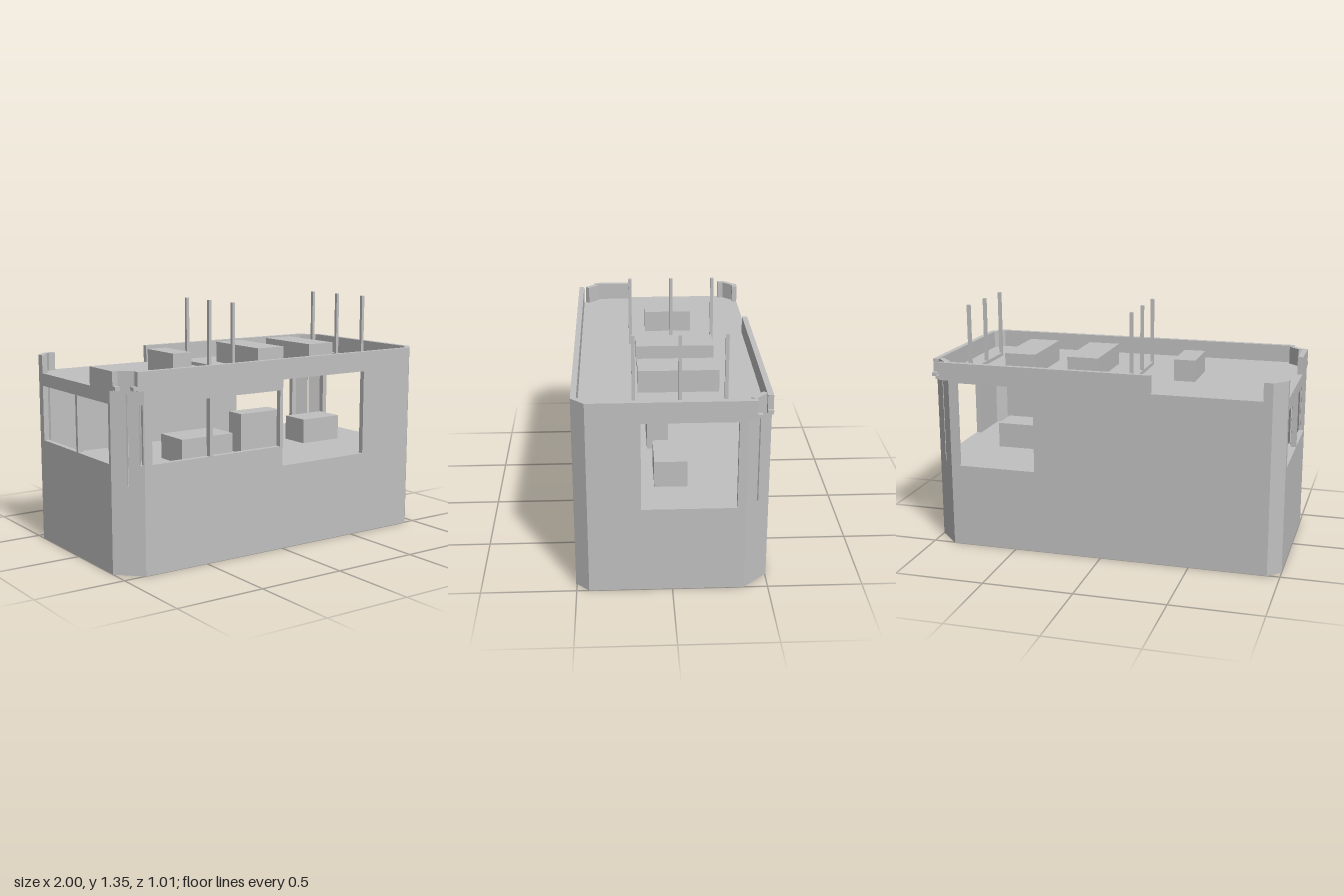
import * as THREE from 'three';

const T = 0.03, ROOF = 0.96, TOP = 1.06;

export function createModel() {
  const group = new THREE.Group();
  const grey = new THREE.MeshStandardMaterial({ color: 0xc0c0c0 });
  grey.name = 'plain grey';

  function add(name, geometry) {
    const mesh = new THREE.Mesh(geometry, grey);
    mesh.name = name;
    group.add(mesh);
    return mesh;
  }

  function box(name, x0, x1, y0, y1, z0, z1) {
    add(name, new THREE.BoxGeometry(x1 - x0, y1 - y0, z1 - z0))
      .position.set((x0 + x1) / 2, (y0 + y1) / 2, (z0 + z1) / 2);
  }

  const rect = (Type, x0, x1, y0, y1) => new Type([
    [x0, y0], [x1, y0], [x1, y1], [x0, y1]
  ].map(p => new THREE.Vector2(...p)));

  // Upright wall from a to b (x, z); openings are [u0, u1, y0, y1] along the wall
  function wall(name, a, b, y0, y1, openings = []) {
    const dx = b[0] - a[0], dz = b[1] - a[1];
    const shape = rect(THREE.Shape, 0, Math.hypot(dx, dz), y0, y1);
    for (const o of openings) shape.holes.push(rect(THREE.Path, ...o));
    const geometry = new THREE.ExtrudeGeometry(shape, { depth: T, bevelEnabled: false });
    geometry.translate(0, 0, -T);
    const mesh = add(name, geometry);
    mesh.rotation.y = Math.atan2(-dz, dx);
    mesh.position.set(a[0], 0, a[1]);
  }

  // Footprint with cut corners, running round from the front
  const plan = [
    [-0.875, 0.505], [0.93, 0.505], [1, 0.435], [1, -0.375],
    [0.875, -0.505], [-0.93, -0.505], [-1, -0.435], [-1, 0.38]
  ];

  // Horizontal slab following the footprint
  function slab(name, y, thickness, hole) {
    const shape = new THREE.Shape(plan.map(([x, z]) => new THREE.Vector2(x, -z)));
    if (hole) shape.holes.push(rect(THREE.Path, ...hole));
    const geometry = new THREE.ExtrudeGeometry(shape, { depth: thickness, bevelEnabled: false });
    geometry.rotateX(-Math.PI / 2);
    add(name, geometry).position.y = y;
  }
  slab('base', 0, 0.02);
  slab('floor', 0.45, 0.02);
  slab('roof', 0.948, ROOF - 0.948, [-0.95, -0.63, -0.45, -0.12]);

  // Outer walls with their window openings
  const walls = [
    ['frontWall', [
      [0.045, 0.395, 0.58, 0.89], [0.415, 0.855, 0.58, 0.89], [0.875, 1.455, 0.47, 0.95]
    ]],
    ['frontLeftCorner', []],
    ['leftWall', [[0.275, 0.765, 0.47, 0.95]]],
    ['backLeftCorner', [[0.085, 0.095, 0.47, 0.95]]],
    ['backWall', [[0.045, 0.495, 0.47, 0.95]]],
    ['backRightCorner', []],
    ['rightWall', [[0.045, 0.435, 0.58, 0.89], [0.455, 0.795, 0.58, 0.89]]],
    ['frontRightCorner', [[0.083, 0.093, 0.47, 0.95], [0.15, 0.17, 0.58, 0.89]]]
  ];
  walls.forEach(([name, openings], i) =>
    wall(name, plan[i], plan[(i + 1) % plan.length], 0, ROOF, openings));

  // Broken parapet round the roof
  const parapets = [
    [[-0.91, 0.505], [0.93, 0.505], [1, 0.435], [1, -0.42]],
    [[0.97, -0.41], [0.9, -0.48]],
    [[0.93, -0.505], [-0.28, -0.505]],
    [[-0.88, -0.505], [-0.93, -0.505], [-1, -0.435], [-1, -0.39]],
    [[-1, 0.17], [-1, 0.41]],
    [[-0.97, 0.405], [-0.91, 0.465]]
  ];
  for (const path of parapets)
    for (let i = 0; i + 1 < path.length; i++) wall('parapet', path[i], path[i + 1], ROOF, TOP);

  // Small ledges under the parapet ends
  box('ledge', 0.97, 1, 0.965, 0.985, -0.445, -0.42);
  box('ledge', 0.93, 0.95, 0.965, 0.985, -0.505, -0.475);
  box('ledge', -1, -0.97, 0.965, 0.985, 0.41, 0.435);
  box('ledge', -0.935, -0.91, 0.965, 0.985, 0.475, 0.505);

  // Roof units
  box('roofUnit', -0.45, -0.33, ROOF, 1.08, -0.17, 0.1);
  for (const x of [0.08, 0.45]) box('roofUnit', x, x + 0.18, ROOF, 1.08, -0.26, 0.165);

  // Two rows of roof posts on rails
  for (const x of [-0.115, 0.835]) {
    box('postRail', x - 0.009, x + 0.009, ROOF, 0.98, -0.285, 0.2);
    for (const z of [-0.277, -0.043, 0.191])
      box('roofPost', x - 0.009, x + 0.009, ROOF, 1.35, z - 0.009, z + 0.009);
  }

  // Furniture blocks inside
  box('cabinet', 0, 0.28, 0.47, 0.7, -0.01, 0.11);
  box('bench', -0.44, -0.1, 0.47, 0.61, -0.05, 0.17);
  box('desk', 0.48, 0.75, 0.47, 0.615, -0.09, 0.085);

  return group;
}
